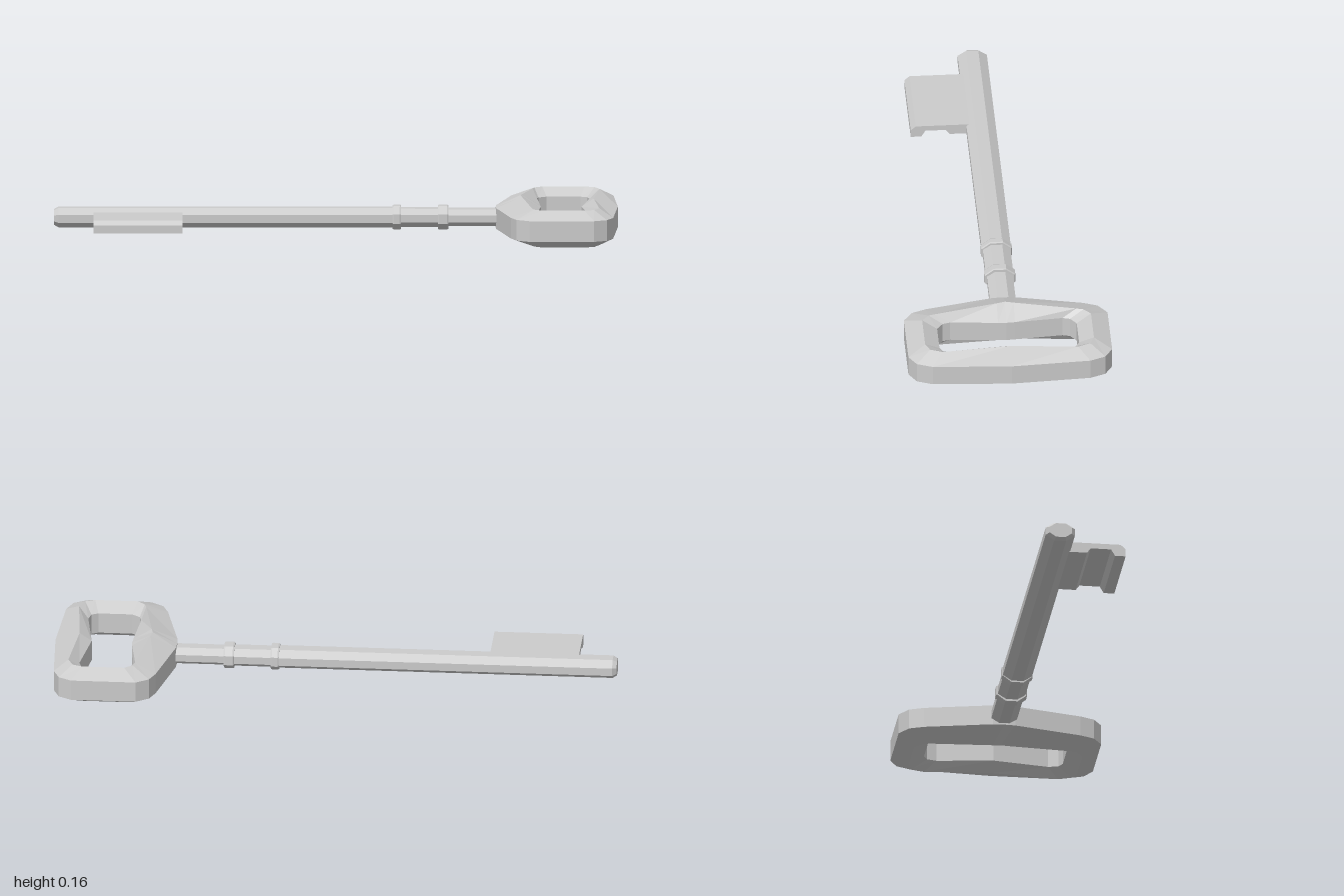
import * as THREE from 'three';

const CENTER_Y = 0.079;
const material = new THREE.MeshStandardMaterial({ color: 0xcccccc, flatShading: true, side: THREE.DoubleSide });

function addMesh(group, name, geometry) {
  const mesh = new THREE.Mesh(geometry, material);
  mesh.name = name;
  group.add(mesh);
}

// Eight-sided flattened bar along x; profile holds [x, half width in z]
function bar(profile, flatten) {
  const k = 1 / Math.cos(Math.PI / 8);
  const points = profile.map(([x, r]) => new THREE.Vector2(r * k, x));
  return new THREE.LatheGeometry(points, 8, Math.PI / 8)
    .rotateZ(-Math.PI / 2)
    .scale(1, flatten, 1)
    .translate(0, CENTER_Y, 0);
}

// Half outlines of the bow from its neck to its far end: [x, z, half height]
const H = 0.037, R = 0.066;
const outer = [[0.565, 0], [0.567, 0.04], [0.62, 0.28], [0.64, 0.33], [0.685, 0.362],
  [0.915, 0.362], [0.96, 0.335], [0.982, 0.28], [0.998, 0]].map(([x, z]) => [x, z, H]);
const ridge = [[0.652, 0, 0.078], [0.658, 0.03, 0.0766], [0.695, 0.25, R], [0.702, 0.275, R], [0.73, 0.3, R],
  [0.88, 0.3, R], [0.915, 0.285, R], [0.933, 0.24, R], [0.912, 0, R]];
const hole = [[0.725, 0], [0.723, 0.03], [0.709, 0.2], [0.716, 0.226], [0.745, 0.248],
  [0.865, 0.248], [0.888, 0.235], [0.897, 0.2], [0.869, 0]].map(([x, z]) => [x, z, H]);

// Mirror a half outline into a closed ring on the upper or lower side
function ring(half, side) {
  const back = half.slice(1, -1).reverse().map(([x, z, h]) => [x, -z, h]);
  return [...half, ...back].map(([x, z, h]) => [x, CENTER_Y + side * h, z]);
}

// Loft the closed six-sided section around the bow
function bowGeometry() {
  const rings = [ring(outer, 1), ring(ridge, 1), ring(hole, 1),
    ring(hole, -1), ring(ridge, -1), ring(outer, -1)];
  const n = rings[0].length;
  const positions = rings.flat(2);
  const index = [];
  for (let s = 0; s < rings.length; s++) {
    const t = (s + 1) % rings.length;
    for (let i = 0; i < n; i++) {
      const j = (i + 1) % n;
      const a = s * n + i, b = s * n + j, c = t * n + j, d = t * n + i;
      index.push(a, b, c, a, c, d);
    }
  }
  const geometry = new THREE.BufferGeometry();
  geometry.setAttribute('position', new THREE.Float32BufferAttribute(positions, 3));
  geometry.setIndex(index);
  geometry.computeVertexNormals();
  return geometry;
}

// Grooved bit: section in (z, y), extruded along x
function bitGeometry() {
  const section = [[0.02, 0.1], [0.232, 0.1], [0.25, 0.084], [0.25, 0.056], [0.212, 0.056],
    [0.198, 0.08], [0.125, 0.08], [0.112, 0.062], [0.02, 0.062]];
  const shape = new THREE.Shape(section.map(([z, y]) => new THREE.Vector2(z, y)));
  return new THREE.ExtrudeGeometry(shape, { depth: 0.315, bevelEnabled: false })
    .rotateY(-Math.PI / 2)
    .translate(-0.545, 0, 0);
}

export function createModel() {
  const key = new THREE.Group();
  key.name = 'key';

  // Shaft with a chamfered tip and a slimmer neck
  addMesh(key, 'shaft', bar([[-1, 0], [-1, 0.04], [-0.985, 0.052], [0.2, 0.052],
    [0.23, 0.049], [0.37, 0.049], [0.39, 0.046], [0.6, 0.046], [0.6, 0]], 0.66));

  // Two collars
  for (const [from, to] of [[0.2, 0.23], [0.36, 0.397]]) {
    addMesh(key, 'collar', bar([[from, 0], [from, 0.052], [from + 0.005, 0.055],
      [to - 0.005, 0.055], [to, 0.052], [to, 0]], 0.76));
  }

  addMesh(key, 'bit', bitGeometry());
  addMesh(key, 'bow', bowGeometry());
  return key;
}
